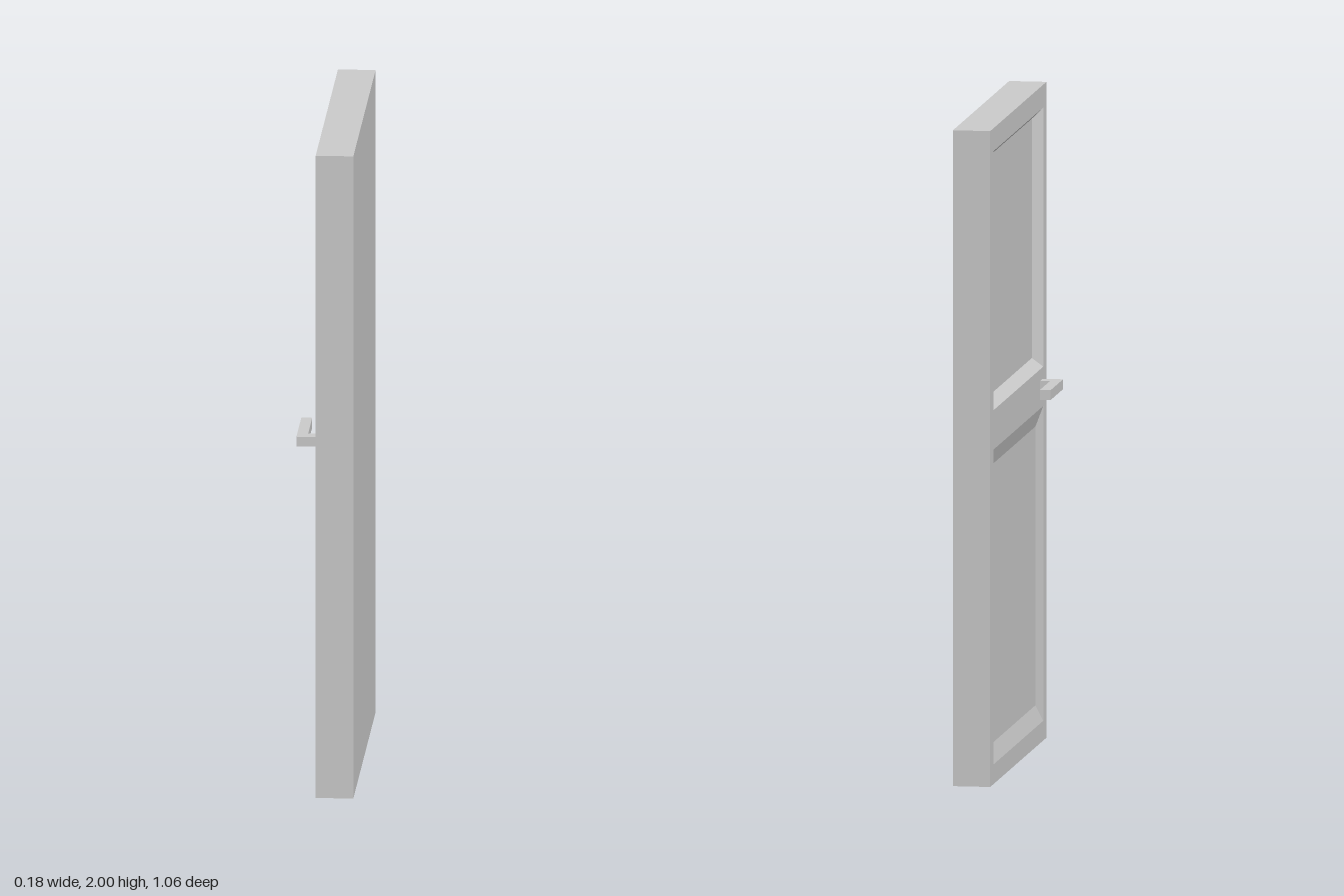
import * as THREE from 'three';

const material = new THREE.MeshStandardMaterial({ color: 0xcccccc, flatShading: true });

// Working frame: across the door, up, and out of the panelled face.
const HALF = 0.53, HEIGHT = 2, FRONT = 0.027, BACK = -0.087;

const panels = [
  { name: 'upperPanel', y0: 1.14, y1: 1.93, inset: 0.03, depth: 0.03 },
  { name: 'lowerPanel', y0: 0.06, y1: 1.02, inset: 0.055, depth: 0.015 },
];
const PANEL_HALF = 0.47;

// Rectangle corners, counter-clockwise from the panelled side
const rect = (h, y0, y1, w) => [[-h, y0, w], [h, y0, w], [h, y1, w], [-h, y1, w]];

// Four walls from ring a to ring b
const walls = (a, b) => a.map((p, i) => [p, a[(i + 1) % 4], b[(i + 1) % 4], b[i]]);

function quadGeometry(quads) {
  const pos = quads.flatMap(([a, b, c, d]) => [a, b, c, a, c, d].flat());
  const geo = new THREE.BufferGeometry();
  geo.setAttribute('position', new THREE.Float32BufferAttribute(pos, 3));
  geo.computeVertexNormals();
  return geo;
}

function polygon(points, Type = THREE.Shape) {
  return new Type(points.map(([x, y]) => new THREE.Vector2(x, y)));
}

function addMesh(parent, name, geo) {
  const mesh = new THREE.Mesh(geo, material);
  mesh.name = name;
  parent.add(mesh);
  return mesh;
}

export function createModel() {
  const model = new THREE.Group();
  model.name = 'door';
  const door = new THREE.Group();
  door.name = 'doorLeaf';
  door.rotation.y = -Math.PI / 2; // panelled face towards -x
  model.add(door);

  // Edges and plain back of the slab
  const backRing = rect(HALF, 0, HEIGHT, BACK);
  const frontRing = rect(HALF, 0, HEIGHT, FRONT);
  addMesh(door, 'slab', quadGeometry([...walls(backRing, frontRing), [...backRing].reverse()]));

  // Frame face with an opening for each panel
  const face = polygon(frontRing);
  for (const p of panels) {
    face.holes.push(polygon(rect(PANEL_HALF, p.y0, p.y1, 0).reverse(), THREE.Path));
  }
  addMesh(door, 'frameFace', new THREE.ShapeGeometry(face).translate(0, 0, FRONT));

  // Sunken panels with bevelled borders
  for (const { name, y0, y1, inset, depth } of panels) {
    const outer = rect(PANEL_HALF, y0, y1, FRONT);
    const inner = rect(PANEL_HALF - inset, y0 + inset, y1 - inset, FRONT - depth);
    addMesh(door, name, quadGeometry([...walls(outer, inner), inner]));
  }

  // L-shaped lever handle: plan outline (across, out) extruded upwards
  const lever = polygon([
    [0.455, FRONT], [0.455, 0.09], [0.22, 0.09], [0.22, 0.057], [0.412, 0.057], [0.412, FRONT],
  ]);
  const leverGeo = new THREE.ExtrudeGeometry(lever, { depth: 0.03, bevelEnabled: false });
  leverGeo.rotateX(Math.PI / 2).translate(0, 1.105, 0);
  addMesh(door, 'handle', leverGeo);

  return model;
}
